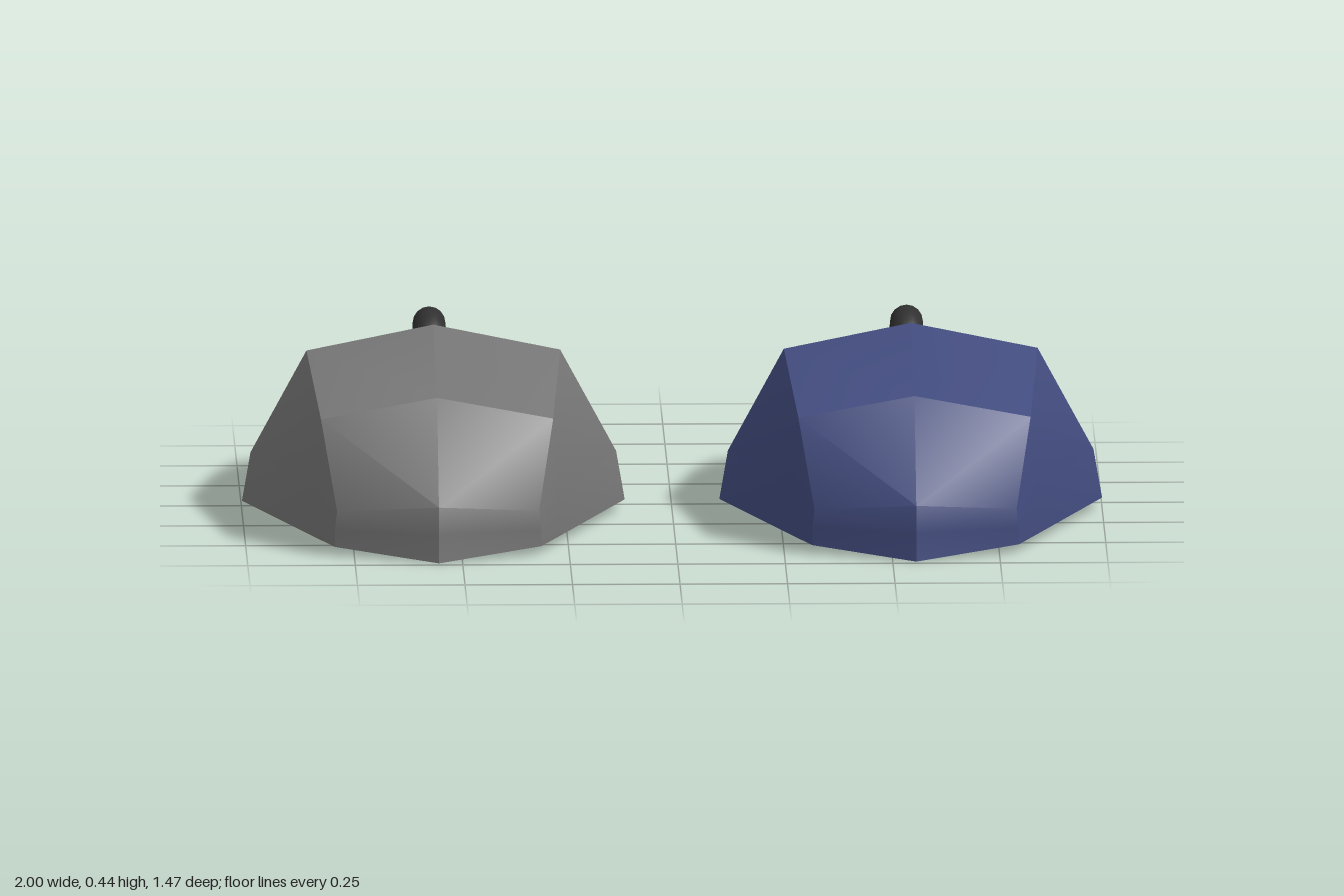
import * as THREE from 'three';
import { toCreasedNormals } from 'three/addons/utils/BufferGeometryUtils.js';

// Half cross-sections from tail (+z) to nose (-z): keel, bottom edge, side, shoulder ridge, crown
const sections = [
  [[0, 0, 0.73], [0.24, 0.02, 0.625], [0.24, 0.06, 0.627], [0.235, 0.105, 0.63], [0, 0.13, 0.72]],
  [[0, 0, 0.51], [0.283, 0.021, 0.51], [0.286, 0.13, 0.51], [0.27, 0.3, 0.51], [0, 0.35, 0.51]],
  [[0, 0, 0.07], [0.445, 0.025, 0.07], [0.425, 0.14, 0.07], [0.295, 0.38, 0.07], [0, 0.44, 0.07]],
  [[0, 0, -0.23], [0.4, 0.012, -0.23], [0.39, 0.13, -0.23], [0.275, 0.325, -0.23], [0, 0.382, -0.23]],
  [[0, 0, -0.35], [0.384, 0.006, -0.35], [0.375, 0.11, -0.34], [0.3, 0.27, -0.31], [0, 0.355, -0.37]],
  [[0, 0, -0.43], [0.372, 0.003, -0.43], [0.366, 0.08, -0.42], [0.327, 0.195, -0.41], [0, 0.32, -0.465]],
  [[0, 0, -0.735], [0.36, 0, -0.515], [0.356, 0.06, -0.503], [0.35, 0.125, -0.49], [0, 0.06, -0.7]],
];

// Lofts the mirrored sections into a closed shell
function shellGeometry() {
  const n = 8;
  const pos = [];
  const index = [];
  for (const half of sections) {
    const mirrored = half.slice(1, 4).reverse().map(([x, y, z]) => [-x, y, z]);
    pos.push(...[...half, ...mirrored].flat());
  }
  for (let i = 0; i < sections.length - 1; i++) {
    for (let j = 0; j < n; j++) {
      const a = i * n + j, b = i * n + (j + 1) % n;
      const d = a + n, e = b + n;
      if (j < n / 2) index.push(a, d, b, b, d, e);
      else index.push(a, d, e, a, e, b);
    }
  }
  // Tail and nose caps fan out from the middle of the centre line
  for (const i of [0, sections.length - 1]) {
    const [keel, , , , crown] = sections[i];
    const mid = pos.length / 3;
    pos.push(...keel.map((v, k) => (v + crown[k]) / 2));
    for (let j = 0; j < n; j++) {
      const a = i * n + j, b = i * n + (j + 1) % n;
      index.push(mid, ...(i === 0 ? [a, b] : [b, a]));
    }
  }
  const geo = new THREE.BufferGeometry();
  geo.setAttribute('position', new THREE.Float32BufferAttribute(pos, 3));
  geo.setIndex(index);
  return toCreasedNormals(geo, 0.55);
}

function createMouse(name, x, color, shellGeo, wheelGeo) {
  const mouse = new THREE.Group();
  mouse.name = name;
  mouse.position.x = x;

  const shell = new THREE.Mesh(shellGeo, new THREE.MeshStandardMaterial({ color }));
  shell.name = 'shell';

  // Scroll wheel, half sunk into the nose
  const wheel = new THREE.Mesh(wheelGeo, new THREE.MeshStandardMaterial({ color: 0x303030 }));
  wheel.name = 'scrollWheel';
  wheel.position.set(0, 0.25, -0.405);
  wheel.rotation.y = Math.PI / 2;

  mouse.add(shell, wheel);
  return mouse;
}

export function createModel() {
  const model = new THREE.Group();
  model.name = 'computerMice';
  const shellGeo = shellGeometry();
  const wheelGeo = new THREE.TorusGeometry(0.103, 0.038, 16, 48);
  model.add(
    createMouse('greyMouse', -0.555, 0x777777, shellGeo, wheelGeo),
    createMouse('blueMouse', 0.555, 0x434d80, shellGeo, wheelGeo),
  );
  return model;
}
